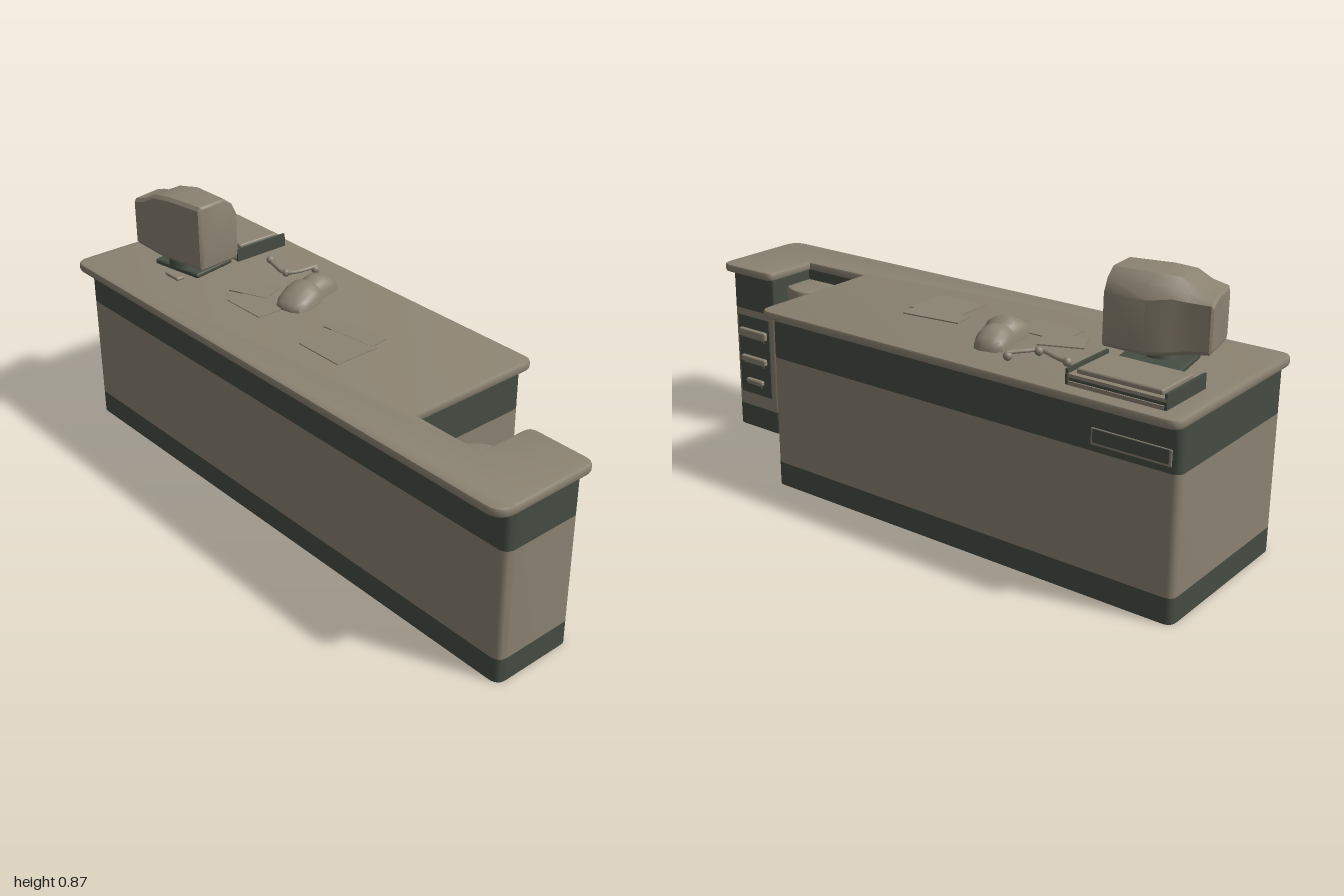
import * as THREE from 'three';
import { toCreasedNormals } from 'three/addons/utils/BufferGeometryUtils.js';
import { RoundedBoxGeometry } from 'three/addons/geometries/RoundedBoxGeometry.js';

const beige = new THREE.MeshStandardMaterial({ color: 0x8b8271 });
beige.name = 'beige';
const green = new THREE.MeshStandardMaterial({ color: 0x454c42 });
green.name = 'dark green';

function add(parent, name, geometry, material, x = 0, y = 0, z = 0) {
  const mesh = new THREE.Mesh(geometry, material);
  mesh.name = name;
  mesh.position.set(x, y, z);
  parent.add(mesh);
  return mesh;
}

// Rounded polygon from [x, z, radius] corners, listed in order.
function outline(corners) {
  const shape = new THREE.Shape();
  const n = corners.length;
  corners.forEach(([x, z, r], i) => {
    const p = new THREE.Vector2(x, -z);
    const toward = (c) => new THREE.Vector2(c[0], -c[1]).sub(p).setLength(r).add(p);
    const a = toward(corners[(i + n - 1) % n]);
    const b = toward(corners[(i + 1) % n]);
    if (i === 0) shape.moveTo(a.x, a.y); else shape.lineTo(a.x, a.y);
    if (r > 0) shape.quadraticCurveTo(p.x, p.y, b.x, b.y);
  });
  shape.closePath();
  return shape;
}

// Upright slab between two heights.
function slab(shape, y0, y1, bevel = 0) {
  const geo = new THREE.ExtrudeGeometry(shape, {
    depth: y1 - y0 - 2 * bevel, curveSegments: 6, bevelEnabled: bevel > 0,
    bevelThickness: bevel, bevelSize: bevel, bevelOffset: -bevel, bevelSegments: 2,
  });
  geo.rotateX(-Math.PI / 2);
  geo.translate(0, y0 + bevel, 0);
  return toCreasedNormals(geo, 0.6);
}

// Closed skin over a row of rings, turned outward by its signed volume.
function loft(rings, crease = 0.6) {
  const tris = [];
  const n = rings[0].length;
  for (let i = 0; i < rings.length - 1; i++) {
    for (let j = 0; j < n; j++) {
      const k = (j + 1) % n;
      const [a, b, c, d] = [rings[i][j], rings[i][k], rings[i + 1][k], rings[i + 1][j]];
      tris.push([a, b, c], [a, c, d]);
    }
  }
  const first = rings[0], last = rings[rings.length - 1];
  for (let j = 1; j < n - 1; j++) {
    tris.push([first[0], first[j + 1], first[j]], [last[0], last[j], last[j + 1]]);
  }
  const center = rings[0][0];
  let volume = 0;
  for (const [a, b, c] of tris) {
    const [p, q, r] = [a, b, c].map((v) => v.clone().sub(center));
    volume += p.dot(q.cross(r));
  }
  const points = tris.flatMap(([a, b, c]) => (volume < 0 ? [a, c, b] : [a, b, c]));
  return toCreasedNormals(new THREE.BufferGeometry().setFromPoints(points), crease);
}

function makeMonitor() {
  const group = new THREE.Group();
  group.name = 'monitor';
  // Each section: front x, front z, back x, back z, bottom, top, back slope
  const sections = [
    [-0.57, 0.095, -0.585, -0.05, 0.652, 0.862, 0.06],
    [-0.575, 0.105, -0.59, -0.06, 0.645, 0.87, 0.065],
    [-0.71, 0.13, -0.725, -0.062, 0.645, 0.872, 0.065],
    [-0.775, 0.143, -0.79, -0.03, 0.65, 0.865, 0.05],
    [-0.82, 0.15, -0.83, -0.015, 0.658, 0.84, 0.03],
    [-0.865, 0.157, -0.895, 0.0, 0.665, 0.828, 0.02],
    [-0.872, 0.148, -0.9, 0.008, 0.675, 0.82, 0.02],
  ];
  const rings = sections.map(([fx, fz, bx, bz, lo, hi, slope]) => {
    const at = (t, y) => new THREE.Vector3(fx + (bx - fx) * t, y, fz + (bz - fz) * t);
    return [at(0.05, lo), at(0, lo + 0.012), at(0, hi - 0.012), at(0.05, hi),
      at(0.68, hi), at(0.88, hi - slope * 0.4), at(1, hi - slope), at(1, lo + 0.012), at(0.95, lo)];
  });
  add(group, 'monitorCase', loft(rings, 0.5), beige);
  add(group, 'monitorNeck', new THREE.CylinderGeometry(0.05, 0.06, 0.035, 20), green, -0.72, 0.635, 0.06);
  const foot = add(group, 'monitorFoot', new RoundedBoxGeometry(0.2, 0.018, 0.17, 2, 0.007), green, -0.72, 0.612, 0.03);
  foot.rotation.y = 0.17;
  add(group, 'footTab', new RoundedBoxGeometry(0.07, 0.012, 0.03, 2, 0.005), beige, -0.67, 0.61, 0.145);
  return group;
}

function makePaperTray() {
  const group = new THREE.Group();
  group.name = 'paperTray';
  const cx = -0.78, cz = -0.188;
  add(group, 'trayBase', new THREE.BoxGeometry(0.31, 0.012, 0.2), beige, cx, 0.611, cz);
  add(group, 'trayGap', new THREE.BoxGeometry(0.3, 0.012, 0.19), green, cx, 0.623, cz);
  add(group, 'trayShelf', new THREE.BoxGeometry(0.315, 0.01, 0.205), beige, cx, 0.634, cz);
  add(group, 'paperStack', new RoundedBoxGeometry(0.27, 0.018, 0.16, 2, 0.006), beige, cx, 0.645, cz - 0.005);
  for (const s of [-1, 1]) {
    add(group, 'trayRim', new THREE.BoxGeometry(0.008, 0.045, 0.205), green, cx + s * 0.154, 0.63, cz);
  }
  return group;
}

// Handset on its cradle: half-round sections along a slanted line.
function makeHandset() {
  const sections = [
    [-0.21, 0.025, 0.02], [-0.195, 0.045, 0.04], [-0.165, 0.052, 0.058], [-0.135, 0.05, 0.064],
    [-0.105, 0.05, 0.052], [-0.08, 0.06, 0.068], [-0.05, 0.062, 0.062], [-0.01, 0.058, 0.042],
    [0.015, 0.045, 0.025], [0.025, 0.02, 0.012],
  ];
  const rings = sections.map(([z, w, h]) => {
    const ring = [];
    for (let i = 0; i <= 10; i++) {
      const a = (i / 10) * Math.PI;
      ring.push(new THREE.Vector3(-0.235 + z * 0.28 + Math.cos(a) * w, 0.604 + Math.pow(Math.sin(a), 0.7) * h, z - Math.cos(a) * w * 0.25));
    }
    return ring;
  });
  return loft(rings, 0.7);
}

export function createModel() {
  const model = new THREE.Group();
  model.name = 'receptionDesk';

  // Cabinet with dark base and top bands
  const body = outline([
    [-0.995, 0.275, 0.03], [0.98, 0.275, 0.035], [0.98, -0.01, 0.025], [0.78, -0.01, 0.01],
    [0.78, 0.17, 0], [0.49, 0.17, 0], [0.49, -0.305, 0.03], [-0.995, -0.305, 0.03],
  ]);
  add(model, 'baseBand', slab(body, 0, 0.08), green);
  add(model, 'cabinetPanels', slab(body, 0.08, 0.443), beige);
  add(model, 'upperBand', slab(body, 0.443, 0.578), green);

  // Counter top
  const top = outline([
    [-1, 0.33, 0.05], [1, 0.33, 0.06], [1, -0.04, 0.04], [0.76, -0.04, 0.03],
    [0.76, 0.155, 0], [0.51, 0.155, 0], [0.51, -0.335, 0.04], [-1, -0.335, 0.04],
  ]);
  add(model, 'counterTop', slab(top, 0.576, 0.605, 0.008), beige);

  // Curved shelf in the corner
  const shelf = new THREE.Shape();
  shelf.moveTo(0.56, -0.172);
  shelf.lineTo(0.78, -0.172);
  shelf.lineTo(0.78, -0.06);
  shelf.quadraticCurveTo(0.74, -0.025, 0.685, -0.03);
  shelf.quadraticCurveTo(0.64, -0.05, 0.62, -0.1);
  shelf.quadraticCurveTo(0.575, -0.115, 0.56, -0.172);
  add(model, 'cornerShelf', slab(shelf, 0.46, 0.54, 0.01), beige);
  add(model, 'cornerShelfUnderside', slab(shelf, 0.445, 0.46), green);

  // Racks on the back of the narrow end
  add(model, 'rackPanel', new THREE.BoxGeometry(0.15, 0.29, 0.008), green, 0.88, 0.275, -0.011);
  [[0.36, 0.13, 0.03], [0.262, 0.12, 0.024], [0.18, 0.08, 0.018]].forEach(([y, w, h]) => {
    add(model, 'rackHandle', new RoundedBoxGeometry(w, h, 0.026, 2, 0.006), beige, 0.88, y, -0.015);
    add(model, 'rackLip', new THREE.BoxGeometry(w * 0.8, 0.008, 0.02), green, 0.88, y - h / 2 - 0.006, -0.014);
  });

  // Pull slot at the back
  add(model, 'pullSlotRim', new RoundedBoxGeometry(0.25, 0.05, 0.008, 2, 0.003), beige, -0.845, 0.487, -0.304);
  add(model, 'pullSlot', new THREE.BoxGeometry(0.236, 0.04, 0.008), green, -0.845, 0.49, -0.306);

  // Things on the counter
  model.add(makeMonitor(), makePaperTray());
  add(model, 'handset', makeHandset(), beige);

  const wire = new THREE.CatmullRomCurve3([
    [-0.55, 0.618, -0.165], [-0.5, 0.615, -0.15], [-0.43, 0.62, -0.135],
    [-0.405, 0.622, -0.17], [-0.385, 0.63, -0.235],
  ].map((p) => new THREE.Vector3(...p)));
  add(model, 'spectacleWire', new THREE.TubeGeometry(wire, 24, 0.007, 6), beige);
  for (const [x, z] of [[-0.545, -0.165], [-0.43, -0.14], [-0.385, -0.23]]) {
    add(model, 'spectacleEnd', new THREE.SphereGeometry(0.014, 10, 8), beige, x, 0.618, z);
  }

  // Loose sheets
  [[-0.33, 0.06, 0.17, 0.12, 0], [0.06, 0.055, 0.18, 0.16, 0], [0.03, -0.04, 0.2, 0.07, 0.12], [-0.42, 0.0, 0.14, 0.1, 0.4]]
    .forEach(([x, z, w, d, turn], i) => {
      const sheet = add(model, 'sheet', new THREE.BoxGeometry(w, 0.004, d), beige, x, 0.606 + i * 0.0004, z);
      sheet.rotation.y = turn;
    });
  return model;
}
